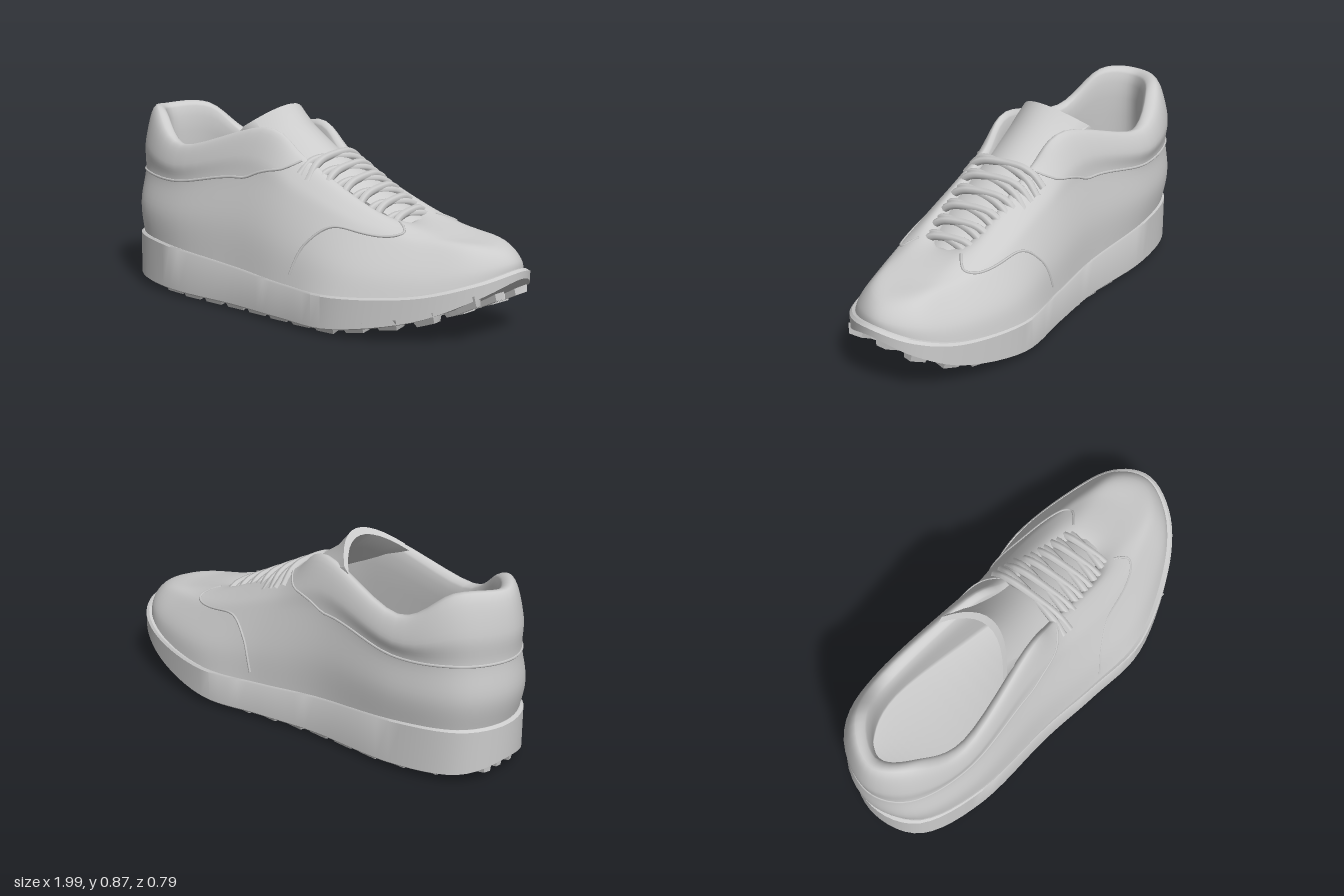
import * as THREE from 'three';
import { toCreasedNormals } from 'three/addons/utils/BufferGeometryUtils.js';

const N = 96; // samples around every loop
const V2 = (x, y) => new THREE.Vector2(x, y);
const V3 = (x, y, z) => new THREE.Vector3(x, y, z);
const material = new THREE.MeshStandardMaterial({ color: 0xcccccc, side: THREE.DoubleSide });

function addMesh(parent, geometry, name) {
  const mesh = new THREE.Mesh(geometry, material);
  mesh.name = name;
  parent.add(mesh);
  return mesh;
}

function indexed(pos, index) {
  const geometry = new THREE.BufferGeometry();
  geometry.setAttribute('position', new THREE.Float32BufferAttribute(pos, 3));
  geometry.setIndex(index);
  geometry.computeVertexNormals();
  return geometry;
}

// Sideways bend of the foot's centre line
const centre = (x) => 0.045 - 0.145 * Math.max(0, (x + 1) / 2) ** 3;

// Sole from heel to toe: x, half width, underside, top
const sole = [
  [-0.98, 0, 0.075, 0.23], [-0.89, 0.205, 0.04, 0.23], [-0.6, 0.3, 0.026, 0.215],
  [-0.2, 0.315, 0.025, 0.185], [0.1, 0.355, 0.025, 0.165], [0.4, 0.39, 0.03, 0.16],
  [0.72, 0.305, 0.09, 0.185], [0.92, 0.18, 0.185, 0.24], [0.998, 0, 0.25, 0.28],
];

// Half loop of [x, y, half width] along the sole, scaled inwards
const soleLoop = (col, scale, dy) => sole.map((s) => [s[0] * scale, s[col] + dy, s[1] * scale]);

// Value of a sole column at any x
function soleAt(x, col) {
  let i = 1;
  while (i < sole.length - 1 && sole[i][0] < x) i++;
  const a = sole[i - 1], b = sole[i];
  const t = THREE.MathUtils.clamp((x - a[0]) / (b[0] - a[0]), 0, 1);
  return THREE.MathUtils.lerp(a[col], b[col], t);
}

// Mirror a half loop about the centre line into a closed curve, leaning to the right
function ring(half, lean) {
  const side = (s) => ([x, y, w]) => V3(x, y, centre(x) + w * (s - lean));
  const right = half.slice(1, -1).reverse().map(side(-1));
  return new THREE.CatmullRomCurve3([...half.map(side(1)), ...right], true, 'catmullrom', 0.5);
}

// Skin rows of N points; caps span from side to side
function skin(rows, capFirst) {
  const pos = [], index = [];
  rows.forEach((row) => row.forEach((p) => pos.push(p.x, p.y, p.z)));
  const quad = (a, b, c, d) => index.push(a, b, c, a, c, d);
  for (let r = 0; r < rows.length - 1; r++) {
    for (let i = 0; i < N; i++) {
      const j = (i + 1) % N;
      quad(r * N + i, r * N + j, (r + 1) * N + j, (r + 1) * N + i);
    }
  }
  const last = (rows.length - 1) * N;
  for (let i = 0; i < N / 2; i++) {
    const a = i, b = i + 1, c = N - i - 1, d = (N - i) % N;
    if (capFirst) quad(d, c, b, a);
    quad(last + a, last + b, last + c, last + d);
  }
  return indexed(pos, index);
}

// Upper: collar seam line and opening rim, the other loops follow from them
const seamLoop = [
  [-0.98, 0.52, 0], [-0.88, 0.52, 0.19], [-0.6, 0.51, 0.27], [-0.2, 0.57, 0.25], [0.1, 0.49, 0.26],
  [0.43, 0.385, 0.26], [0.68, 0.36, 0.2], [0.84, 0.37, 0.125], [0.91, 0.365, 0],
];
const rimLoop = [
  [-0.94, 0.805, 0], [-0.83, 0.8, 0.165], [-0.6, 0.67, 0.24], [-0.15, 0.785, 0.175], [0.04, 0.675, 0.14],
  [0.2, 0.585, 0.13], [0.38, 0.49, 0.12], [0.48, 0.445, 0.08], [0.52, 0.43, 0],
];
const baseLoop = soleLoop(3, 0.975, -0.02);

// Loop between two others, swollen outwards
const between = (a, b, t, swell) => a.map((p, i) => {
  const [x, y, w] = p.map((v, k) => THREE.MathUtils.lerp(v, b[i][k], t));
  return [x * 1.025, y, w * swell];
});

const upperRings = [
  baseLoop,
  between(baseLoop, seamLoop, 0.5, 1.05),
  seamLoop,
  between(seamLoop, rimLoop, 0.45, 1.08),
  rimLoop,
  rimLoop.map(([x, y, w]) => [x * 0.94 - 0.005, y - 0.02, w * 0.82]),
  rimLoop.map(([x, , w]) => [x * 0.95, 0.3, w * 0.95]),
].map((half, i) => ring(half, Math.min(i * 0.04, 0.1)));

// Vertical rib of the upper at a station (0..16 around the foot)
const rib = (s) => new THREE.CatmullRomCurve3(
  upperRings.map((c) => c.getPoint(((s + 16) % 16) / 16)), false, 'centripetal');

function buildUpper(group) {
  const ribs = Array.from({ length: N }, (_, i) => rib((i * 16) / N).getPoints(36));
  const rows = ribs[0].map((_, r) => ribs.map((points) => points[r]));
  addMesh(group, skin(rows, false), 'upper');

  // Raised seams lying on the surface, given as [station, level]
  const seam = (path, name) => {
    const points = new THREE.SplineCurve(path.map(([s, level]) => V2(s, level))).getPoints(40)
      .map((p) => rib(p.x).getPoint(p.y / 6));
    addMesh(group, new THREE.TubeGeometry(new THREE.CatmullRomCurve3(points), 80, 0.006, 5), name);
  };
  const collarLine = Array.from({ length: 33 }, (_, i) => {
    const s = (i - 16) / 4;
    return [s, 2 + 1.7 * Math.max(0, Math.abs(s) - 3)];
  });
  seam(collarLine, 'collarSeam');
  for (const side of [1, -1]) {
    const vampLine = [[4.15, 0.4], [4.3, 1.3], [4.7, 2.1], [5.6, 2.5], [6.6, 3.6]];
    seam(vampLine.map(([s, level]) => [s * side, level]), 'vampSeam');
  }
}

function buildSole(group) {
  const loops = [soleLoop(2, 0.985, -0.006), soleLoop(2, 1, 0), soleLoop(3, 1, 0), soleLoop(3, 0.985, 0.008), soleLoop(3, 0.92, 0)];
  const rows = loops.map((half) => ring(half, 0).getPoints(N).slice(0, N));
  addMesh(group, toCreasedNormals(skin(rows, true), 0.6), 'midsole');

  // Tread: staggered bevelled lugs following the underside
  const tread = new THREE.Group();
  tread.name = 'tread';
  group.add(tread);
  const length = 0.122, pitch = 0.135;
  for (let j = -2; j <= 2; j++) {
    for (let i = 0; i < 14; i++) {
      const x = -0.89 + i * pitch + (j % 2 ? pitch / 2 : 0);
      const w = Math.min(soleAt(x - length * 0.4, 1), soleAt(x + length * 0.4, 1));
      if (w < 0.07) continue;
      const lug = new THREE.BoxGeometry(length, 0.044, w * 0.375);
      const p = lug.attributes.position;
      for (let k = 0; k < p.count; k++) {
        const taper = p.getY(k) < 0 ? 0.76 : 1;
        const skew = p.getZ(k) * Math.sign(j) * 0.3;
        p.setXYZ(k, p.getX(k) * taper + skew, p.getY(k), p.getZ(k) * taper);
      }
      lug.computeVertexNormals();
      const mesh = addMesh(tread, lug, 'lug');
      mesh.position.set(x, Math.max(soleAt(x, 2) - 0.006, 0.0225), centre(x) + j * w * 0.4);
      mesh.rotation.z = Math.atan2(soleAt(x + 0.06, 2) - soleAt(x - 0.06, 2), 0.12);
    }
  }
}

// Tongue: arched rows of [x, y, half width], drooping most at the free end
function buildTongue(group) {
  const rows = [[-0.165, 0.868, 0.185], [-0.1, 0.79, 0.165], [0.04, 0.69, 0.135], [0.28, 0.56, 0.12], [0.51, 0.435, 0.08]];
  const across = 12, ringSize = 2 * (across + 1), pos = [], index = [];
  rows.forEach(([x, y, w], r) => {
    const free = (1 - r / (rows.length - 1)) ** 2;
    for (let k = 0; k < ringSize; k++) {
      const inner = k > across;
      const t = ((inner ? ringSize - 1 - k : k) / across) * 2 - 1;
      const off = inner ? 0.025 : 0;
      pos.push(x - 0.11 * free * t * t - off, y - (0.02 + 0.07 * free) * t * t - off, centre(x) - 0.03 + w * t);
    }
  });
  for (let r = 0; r < rows.length - 1; r++) {
    for (let k = 0; k < ringSize; k++) {
      const a = r * ringSize + k, b = r * ringSize + ((k + 1) % ringSize);
      index.push(a, b, b + ringSize, a, b + ringSize, a + ringSize);
    }
  }
  for (let k = 0; k < across; k++) {
    const c = ringSize - 1 - k;
    index.push(k, c, c - 1, k, c - 1, k + 1);
  }
  addMesh(group, toCreasedNormals(indexed(pos, index), 0.8), 'tongue');
}

// Laces: crossing pairs between the eyelet rows
function buildLaces(group) {
  const laces = new THREE.Group();
  laces.name = 'laces';
  group.add(laces);
  for (let i = 0; i < 6; i++) {
    for (const side of [1, -1]) {
      const points = Array.from({ length: 9 }, (_, k) => {
        const t = k / 4 - 1;
        const x = 0.06 + i * 0.077 + 0.022 * (1 + t * side);
        const arch = 0.006 * (1 + side) * (1 - t * t) - 0.07 * t ** 4;
        return V3(x, 0.702 - 0.53 * x + arch, centre(x) - 0.025 + (0.2 - i * 0.008) * t);
      });
      addMesh(laces, new THREE.TubeGeometry(new THREE.CatmullRomCurve3(points), 24, 0.018, 7), 'lace');
    }
  }
}

export function createModel() {
  const group = new THREE.Group();
  group.name = 'shoe';
  buildSole(group);
  buildUpper(group);
  buildTongue(group);
  buildLaces(group);
  return group;
}
